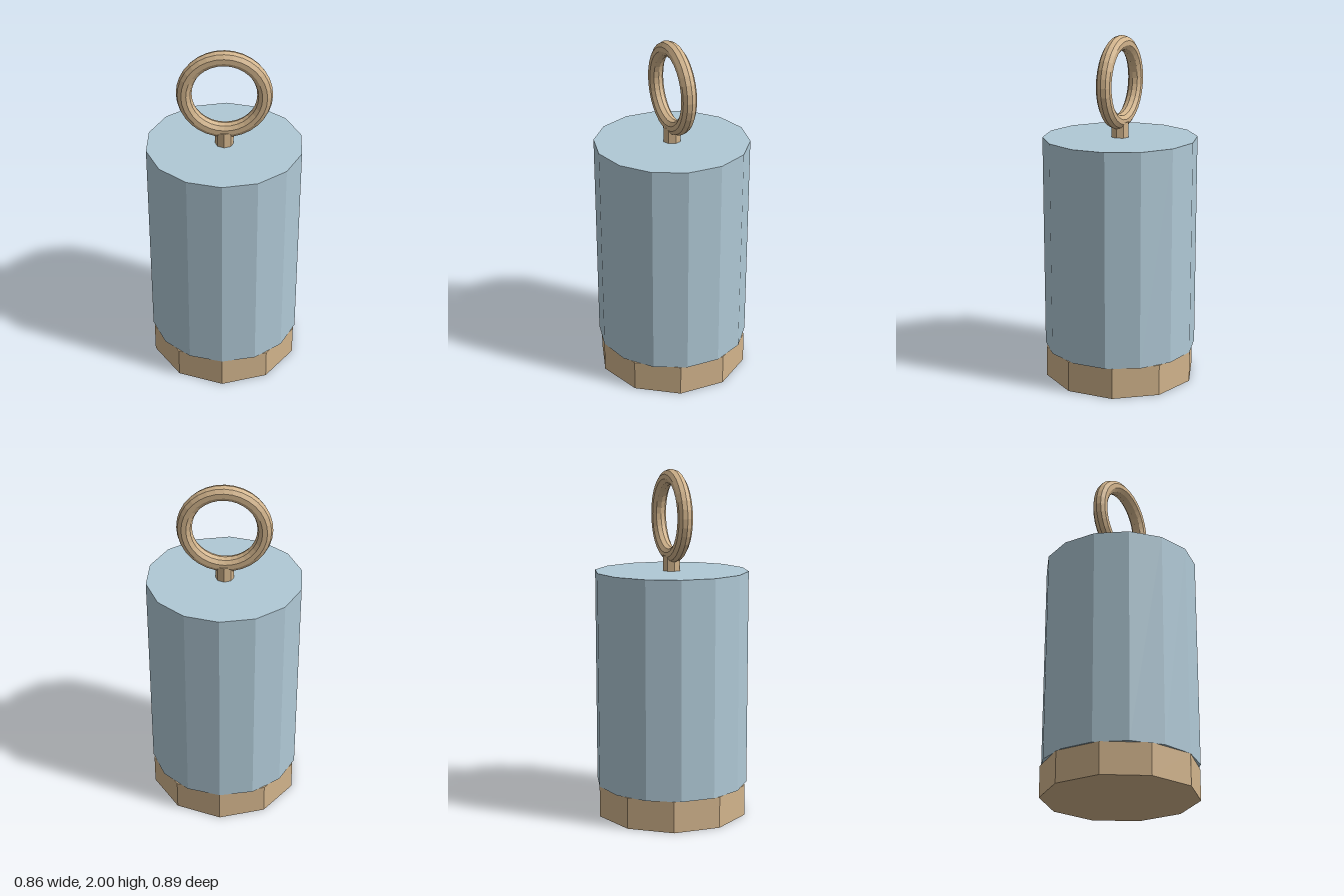
import * as THREE from 'three';

export function createModel() {
  const group = new THREE.Group();
  const tan = new THREE.MeshStandardMaterial({ color: 0xd2b48c, flatShading: true });
  const blue = new THREE.MeshStandardMaterial({ color: 0xb0c9d6, flatShading: true });

  // Upright faceted prism between two heights
  function prism(name, radius, sides, bottom, top, material) {
    const mesh = new THREE.Mesh(new THREE.CylinderGeometry(radius, radius, top - bottom, sides), material);
    mesh.name = name;
    mesh.position.y = (bottom + top) / 2;
    group.add(mesh);
  }

  prism('base', 0.443, 10, 0, 0.18, tan);
  prism('body', 0.443, 14, 0.18, 1.423, blue);
  prism('stem', 0.052, 8, 1.423, 1.51, tan);

  // Hanging ring standing on the stem
  const ring = new THREE.Mesh(new THREE.TorusGeometry(0.222, 0.043, 10, 32), tan);
  ring.name = 'ring';
  ring.position.y = 1.735;
  group.add(ring);

  return group;
}
